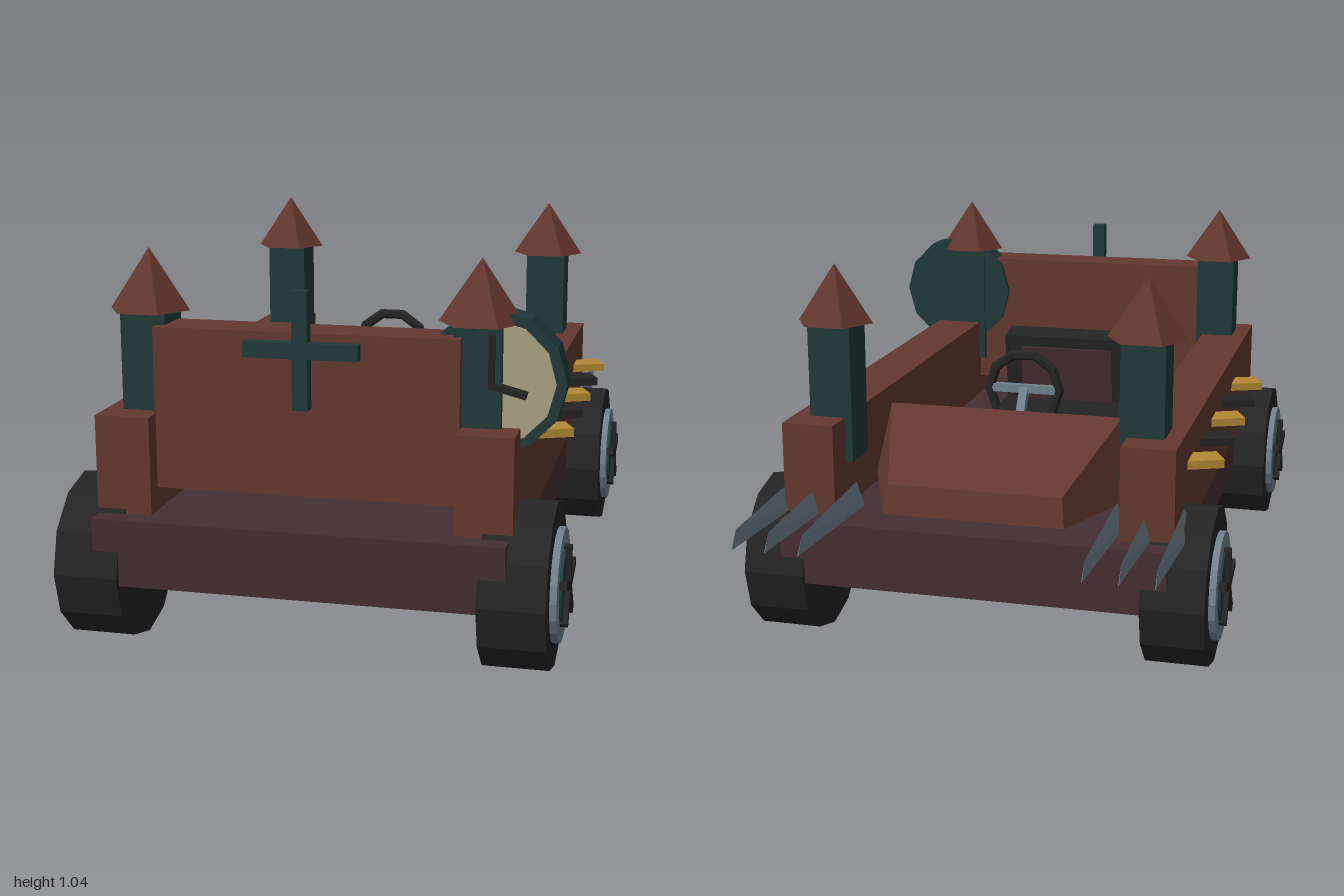
import * as THREE from 'three';

const paint = (name, color) => {
  const m = new THREE.MeshStandardMaterial({ color, flatShading: true });
  m.name = name;
  return m;
};

// Solid from matching loops of points, closed at both ends (loops convex)
function loft(loops) {
  const n = loops[0].length, pos = [];
  const tri = (a, b, c) => pos.push(...a, ...b, ...c);
  for (let k = 0; k < loops.length - 1; k++) {
    for (let i = 0; i < n; i++) {
      const j = (i + 1) % n, [p, q] = [loops[k], loops[k + 1]];
      tri(p[i], p[j], q[j]);
      tri(p[i], q[j], q[i]);
    }
  }
  const first = loops[0], last = loops[loops.length - 1];
  for (let i = 1; i < n - 1; i++) {
    tri(first[0], first[i + 1], first[i]);
    tri(last[0], last[i], last[i + 1]);
  }
  const g = new THREE.BufferGeometry();
  g.setAttribute('position', new THREE.Float32BufferAttribute(pos, 3));
  g.computeVertexNormals();
  return g;
}

export function createModel() {
  const brick = paint('brick red', 0x63382f);
  const maroon = paint('dark maroon', 0x452e31);
  const teal = paint('dark teal', 0x213a39);
  const black = paint('black', 0x242424);
  const steel = paint('steel', 0x70828d);
  const gold = paint('gold', 0xb48934);
  const cream = paint('cream', 0xaba284);

  const model = new THREE.Group();
  model.name = 'castleCart';

  const add = (name, geo, mat, x = 0, y = 0, z = 0, parent = model) => {
    const m = new THREE.Mesh(geo, mat);
    m.name = name;
    m.position.set(x, y, z);
    parent.add(m);
    return m;
  };
  // Box given by its limits on each axis
  const box = (name, mat, x0, x1, y0, y1, z0, z1, parent) =>
    add(name, new THREE.BoxGeometry(x1 - x0, y1 - y0, z1 - z0), mat,
      (x0 + x1) / 2, (y0 + y1) / 2, (z0 + z1) / 2, parent);

  // Body
  box('chassis', maroon, -0.53, 0.53, 0.195, 0.37, -0.74, 0.985);
  box('endPanel', brick, -0.395, 0.395, 0.43, 0.85, 0.74, 0.87);
  box('crossUpright', teal, -0.02, 0.02, 0.66, 0.96, 0.87, 0.905);
  box('crossBar', teal, -0.147, 0.147, 0.79, 0.83, 0.87, 0.904);

  // Sloping hood, narrower and lower at the far end
  add('hood', loft([
    [[-0.395, 0.395, -0.335], [0.395, 0.395, -0.335], [0.25, 0.395, -0.69], [-0.25, 0.395, -0.69]],
    [[-0.335, 0.615, -0.36], [0.335, 0.615, -0.36], [0.24, 0.475, -0.675], [-0.24, 0.475, -0.675]],
  ]), brick);

  // Spike: triangular section narrowing to an upright edge
  const spikeGeo = loft([
    [[-0.022, 0.375, -0.575], [0.022, 0.375, -0.575], [0, 0.442, -0.575]],
    [[-0.001, 0.375, -1], [0.001, 0.375, -1], [0, 0.42, -0.97]],
  ].map((loop) => loop.slice().reverse()).map((l) => l.slice().reverse()).reverse());

  const tyreGeo = new THREE.CylinderGeometry(0.218, 0.218, 0.17, 12).rotateZ(Math.PI / 2);
  const rimGeo = new THREE.CylinderGeometry(0.147, 0.147, 0.03, 20).rotateZ(Math.PI / 2);
  const hubGeo = new THREE.CylinderGeometry(0.1, 0.1, 0.03, 20).rotateZ(Math.PI / 2);
  const spokeGeo = new THREE.BoxGeometry(0.025, 0.105, 0.024).translate(0, 0.053, 0);
  const roofGeo = new THREE.ConeGeometry(0.108, 0.16, 6).rotateY(Math.PI / 6);

  for (const s of [1, -1]) {
    const side = s > 0 ? 'left' : 'right';
    const inner = 0.393 * s, outer = 0.538 * s;
    box(side + 'Wall', brick, Math.min(inner, outer), Math.max(inner, outer), 0.33, 0.625, -0.675, 0.92);

    // Towers and wheels
    for (const [end, zt, zw] of [['Front', 0.78, 0.785], ['Back', -0.525, -0.535]]) {
      const tower = new THREE.Group();
      tower.name = side + end + 'Tower';
      tower.position.set(0.432 * s, 0, zt);
      model.add(tower);
      box('towerShaft', teal, -0.06, 0.06, 0.5, 0.88, -0.06, 0.06, tower);
      add('towerRoof', roofGeo, brick, 0, 0.96, 0, tower);

      const wheel = new THREE.Group();
      wheel.name = side + end + 'Wheel';
      wheel.position.set(0, 0.218, zw);
      model.add(wheel);
      add('tyre', tyreGeo, black, 0.547 * s, 0, 0, wheel);
      add('rim', rimGeo, steel, 0.635 * s, 0, 0, wheel);
      add('hub', hubGeo, teal, 0.642 * s, 0, 0, wheel);
      for (let i = 0; i < 5; i++) {
        add('spoke', spokeGeo, black, 0.657 * s, 0, 0, wheel).rotation.x = (i * Math.PI * 2) / 5;
      }
    }

    // Alternating tilted blocks along the wall
    for (let i = 0; i < 5; i++) {
      const stud = add(side + 'WallBlock', new THREE.BoxGeometry(0.12, 0.023, 0.083),
        i % 2 ? black : gold, 0.56 * s, 0.528, -0.44 + i * 0.219 + (s > 0 ? -0.005 : 0.015));
      stud.rotation.y = 0.41;
    }

    for (const x of [0.367, 0.458, 0.548]) add(side + 'Spike', spikeGeo, steel, x * s);
  }

  // Clock on the front left tower
  const clock = new THREE.Group();
  clock.name = 'clock';
  clock.position.set(0.468, 0.737, 0);
  model.add(clock);
  const disc = (r, h) => new THREE.CylinderGeometry(r, r, h, 12).rotateX(Math.PI / 2).rotateZ(Math.PI / 6);
  add('clockCase', disc(0.182, 0.085), teal, 0, 0, 0.768, clock);
  add('clockFace', disc(0.156, 0.009), cream, 0, 0, 0.814, clock);
  box('longHand', black, -0.008, 0.008, -0.01, 0.125, 0.815, 0.848, clock);
  const hand = add('shortHand', new THREE.BoxGeometry(0.095, 0.016, 0.033), black, 0.04, -0.014, 0.8315, clock);
  hand.rotation.z = -0.25;

  // Seat with a back that tips forward
  box('seatBase', black, -0.204, 0.204, 0.395, 0.45, 0.035, 0.45);
  const back = new THREE.Group();
  back.name = 'seatBack';
  back.position.set(0, 0.535, 0.446);
  back.rotation.x = -0.15;
  model.add(back);
  box('backFrame', black, -0.204, 0.204, -0.135, 0.135, -0.045, 0.045, back);
  box('backCushion', maroon, -0.15, 0.15, -0.09, 0.1, -0.054, -0.045, back);

  // Steering wheel
  const steering = new THREE.Group();
  steering.name = 'steeringWheel';
  steering.position.set(0, 0.625, -0.147);
  model.add(steering);
  add('steeringRing', new THREE.TorusGeometry(0.105, 0.015, 6, 10), black, 0, 0, 0, steering);
  box('steeringBar', steel, -0.1, 0.1, -0.012, 0.012, -0.01, 0.01, steering);
  const column = add('steeringColumn', new THREE.BoxGeometry(0.025, 0.025, 0.32), steel, 0, -0.128, -0.09, steering);
  column.rotation.x = -Math.atan2(0.255, 0.18);

  return model;
}
